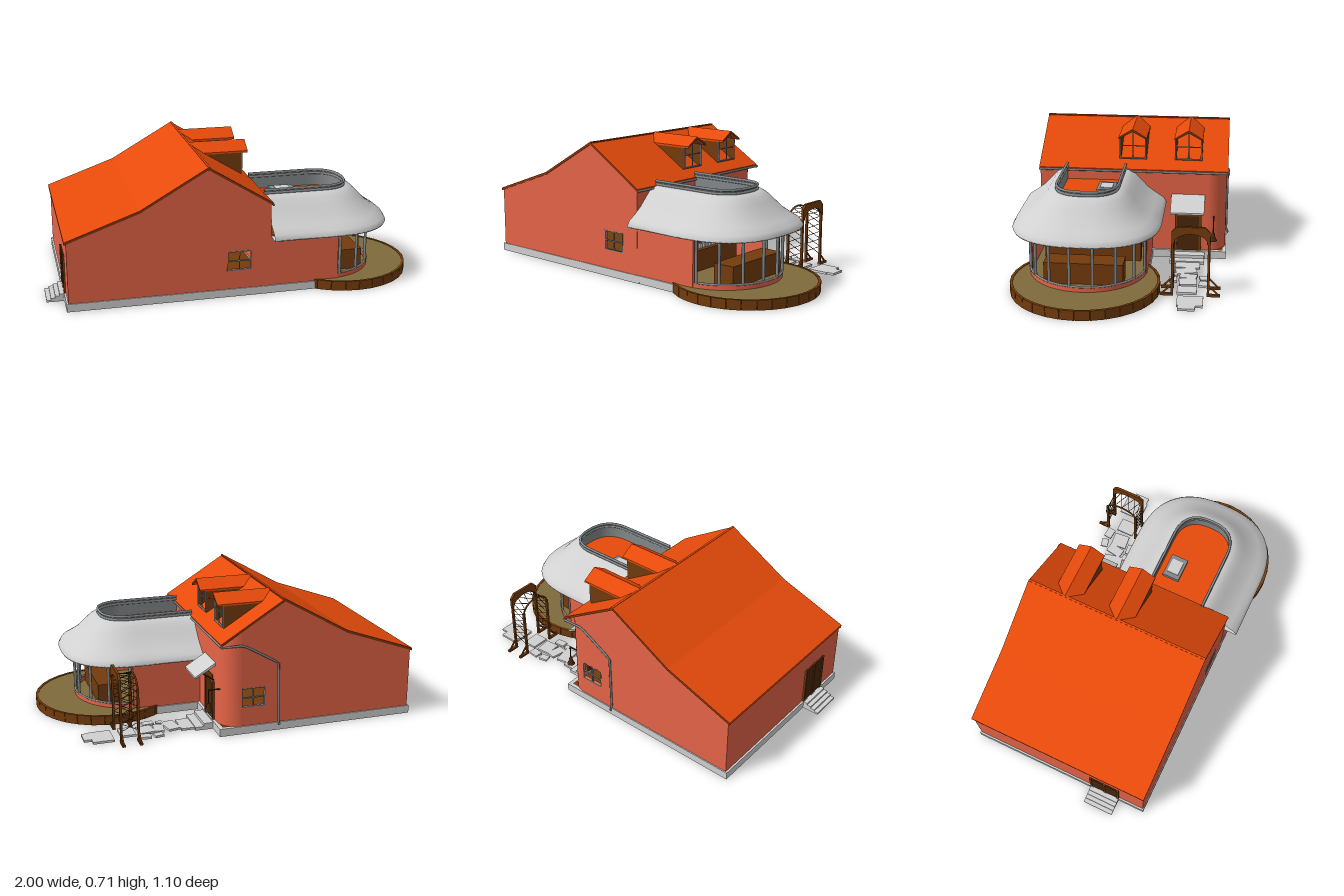
import * as THREE from 'three';

const mat = (name, color) => new THREE.MeshStandardMaterial({ name, color, side: THREE.DoubleSide });
const M = {
  roof: mat('orange tile', 0xe64a0a), trim: mat('dark red trim', 0x8a340c), wall: mat('salmon plaster', 0xe66447),
  stone: mat('pale stone', 0xd0d0d0), metal: mat('grey metal', 0x84888a), wood: mat('brown wood', 0x733b0c),
  dark: mat('dark wood', 0x4a260a), deck: mat('tan decking', 0x7f6a3c),
};
const CX = 0.475, CZ = 0.17; // centre of the rounded bay

// height of the main roof at x
const roofPts = [[-0.91, 0.37], [-0.53, 0.505], [-0.18, 0.705], [0.16, 0.495]];
function roofY(x) {
  for (let i = 0; i < 3; i++) {
    const [a, b] = [roofPts[i], roofPts[i + 1]];
    if (x <= b[0] || i === 2) return a[1] + (b[1] - a[1]) * (x - a[0]) / (b[0] - a[0]);
  }
}

export function createModel() {
  const root = new THREE.Group();
  root.name = 'house';

  function add(name, geo, m) {
    const mesh = new THREE.Mesh(geo, m);
    mesh.name = name;
    root.add(mesh);
    return mesh;
  }
  // box given by its limits
  const box = (name, m, x0, x1, y0, y1, z0, z1) => {
    const b = add(name, new THREE.BoxGeometry(x1 - x0, y1 - y0, z1 - z0), m);
    b.position.set((x0 + x1) / 2, (y0 + y1) / 2, (z0 + z1) / 2);
    return b;
  };
  // round bar between two points
  const bar = (name, m, a, b, r = 0.005) => {
    const p = new THREE.Vector3(...a), q = new THREE.Vector3(...b), d = q.clone().sub(p);
    const c = add(name, new THREE.CylinderGeometry(r, r, d.length(), 8), m);
    c.position.copy(p).add(q).multiplyScalar(0.5);
    c.quaternion.setFromUnitVectors(new THREE.Vector3(0, 1, 0), d.normalize());
    return c;
  };
  const poly = (pts) => new THREE.Shape(pts.map((p) => new THREE.Vector2(...p)));
  const rectHole = (x0, x1, y0, y1) => new THREE.Path([[x0, y0], [x0, y1], [x1, y1], [x1, y0]].map((p) => new THREE.Vector2(...p)));
  const extrude = (shape, depth) => new THREE.ExtrudeGeometry(shape, { depth, bevelEnabled: false, curveSegments: 24 });
  // skin through equal-length rings of points
  function loft(rings) {
    const n = rings[0].length, idx = [];
    for (let i = 0; i < rings.length - 1; i++) for (let j = 0; j < n - 1; j++) {
      const a = i * n + j, c = a + n;
      idx.push(a, a + 1, c, a + 1, c + 1, c);
    }
    const g = new THREE.BufferGeometry();
    g.setAttribute('position', new THREE.Float32BufferAttribute(rings.flat(2), 3));
    g.setIndex(idx);
    g.computeVertexNormals();
    return g;
  }
  // U-shaped outline of the bay: straight sides and a rounded nose
  function bayRing(w, y, power = 2, x0 = 0.15) {
    const pts = [[x0, y, CZ + w]];
    for (let i = 0; i <= 40; i++) {
      const t = Math.PI * (0.5 - i / 40), c = Math.max(0, Math.cos(t)), s = Math.sin(t), k = 2 / power;
      pts.push([CX + w * Math.pow(c, k), y, CZ + w * Math.sign(s) * Math.pow(Math.abs(s), k)]);
    }
    pts.push([x0, y, CZ - w]);
    return pts;
  }
  const tube = (name, m, pts, r) => {
    const path = new THREE.CurvePath();
    for (let i = 0; i < pts.length - 1; i++) path.add(new THREE.LineCurve3(new THREE.Vector3(...pts[i]), new THREE.Vector3(...pts[i + 1])));
    return add(name, new THREE.TubeGeometry(path, pts.length * 4, r, 8), m);
  };
  const flat = (name, m, pts, y) => add(name, new THREE.ShapeGeometry(poly(pts.map((p) => [p[0], -p[2]]))).rotateX(-Math.PI / 2).translate(0, y, 0), m);

  // foundation and floor
  const base = poly([[-0.91, -0.48], [0.165, -0.48], [0.165, 0.536], [-0.91, 0.536]]);
  base.holes.push(rectHole(-0.89, 0.145, -0.462, 0.518));
  add('foundation', extrude(base, 0.042).rotateX(-Math.PI / 2), M.stone);
  box('floor', M.wood, -0.89, 0.145, 0.012, 0.042, -0.518, 0.462);

  // front and back walls with a window each
  const profile = (xr) => {
    const s = poly([[-0.9, 0.04], [xr, 0.04], [xr, roofY(xr) - 0.008], [-0.18, 0.695], [-0.53, 0.497], [-0.9, 0.365]]);
    s.holes.push(rectHole(-0.08, 0.045, 0.145, 0.245));
    return s;
  };
  add('frontWall', extrude(profile(0.15), 0.02).translate(0, 0, 0.455), M.wall);
  add('backWall', extrude(profile(0.05), 0.02).translate(0, 0, -0.53), M.wall);
  box('leftWall', M.wall, -0.9, -0.885, 0.04, 0.365, -0.52, 0.47);
  // right wall turning round the back corner
  const plan = [[0.15, 0.475], [0.15, -0.43]];
  for (let i = 1; i <= 10; i++) {
    const t = i / 10 * Math.PI / 2;
    plan.push([0.05 + 0.1 * Math.cos(t), -0.43 - 0.1 * Math.sin(t)]);
  }
  add('rightWall', loft([plan.map(([x, z]) => [x, 0.04, z]), plan.map(([x, z]) => [x, roofY(x) - 0.008, z])]), M.wall);

  for (const z of [0.472, -0.527]) {
    const frame = poly([[-0.083, 0.142], [0.048, 0.142], [0.048, 0.248], [-0.083, 0.248]]);
    for (const x of [-0.078, -0.0145]) for (const y of [0.147, 0.198]) frame.holes.push(rectHole(x, x + 0.058, y, y + 0.045));
    add('windowFrame', extrude(frame, 0.008).translate(0, 0, z - 0.004), M.metal);
  }
  box('indoorTable', M.wood, -0.075, -0.03, 0.042, 0.168, -0.12, 0);

  // main roof
  const roofShape = poly([...roofPts, ...roofPts.map(([x, y]) => [x, y - 0.014]).reverse()]);
  add('mainRoof', extrude(roofShape, 1.015).translate(0, 0, -0.535), [M.trim, M.roof]);
  box('ridgeOverhang', M.roof, -0.182, -0.172, 0.688, 0.706, -0.535, 0.48);
  box('ridgeTrim', M.trim, -0.172, -0.17, 0.688, 0.705, -0.535, 0.48);
  bar('gutter', M.metal, [0.16, 0.484, -0.54], [0.16, 0.484, 0.48], 0.006);
  tube('downpipe', M.metal, [[0.155, 0.48, -0.54], [0.04, 0.48, -0.536], [-0.15, 0.37, -0.534], [-0.155, 0.04, -0.534], [-0.155, 0.035, -0.546]], 0.006);

  // dormers
  for (const z of [-0.023, -0.322]) {
    const chevron = poly([[-0.076, 0.652], [0, 0.695], [0.076, 0.652], [0.076, 0.662], [0, 0.709], [-0.076, 0.662]]);
    add('dormerRoof', extrude(chevron, 0.31).rotateY(Math.PI / 2).translate(-0.175, 0, z), [M.wood, M.roof]);
    for (const s of [-1, 1]) box('dormerSide', M.wood, -0.1, 0.1, 0.535, 0.66, z + s * 0.069 - 0.004, z + s * 0.069 + 0.004);
    const o = [[-0.069, 0.541], [0.069, 0.541], [0.069, 0.657], [0, 0.695], [-0.069, 0.657]];
    o.forEach((p, i) => {
      const q = o[(i + 1) % 5];
      bar('dormerFrame', M.metal, [0.102, p[1], z + p[0]], [0.102, q[1], z + q[0]], 0.005);
    });
    bar('dormerMullion', M.metal, [0.102, 0.541, z], [0.102, 0.695, z], 0.003);
    bar('dormerTransom', M.metal, [0.102, 0.61, z - 0.069], [0.102, 0.61, z + 0.069], 0.003);
  }

  // left door and steps
  box('leftDoor', M.dark, -0.907, -0.9, 0.04, 0.245, 0.165, 0.325);
  for (const z of [0.165, 0.245, 0.325]) box('leftDoorTrim', M.wood, -0.91, -0.9, 0.04, 0.25, z - 0.006, z + 0.006);
  for (let i = 0; i < 4; i++) box('leftStep', M.stone, -1 + i * 0.0225, -0.91, i * 0.01, 0.01 + i * 0.01, 0.16, 0.33);

  // right door, canopy and steps
  box('rightDoor', M.dark, 0.15, 0.157, 0.04, 0.245, -0.39, -0.265);
  for (const z of [-0.393, -0.262]) box('doorJamb', M.wood, 0.15, 0.162, 0.04, 0.25, z - 0.006, z + 0.006);
  box('doorLintel', M.wood, 0.15, 0.162, 0.24, 0.25, -0.398, -0.257);
  box('doorSign', M.wood, 0.15, 0.156, 0.258, 0.28, -0.375, -0.28);
  add('canopy', extrude(poly([[0.15, 0.36], [0.26, 0.292], [0.26, 0.282], [0.15, 0.345]]), 0.18).translate(0, 0, -0.415), M.stone);
  for (const z of [-0.4, -0.25]) bar('canopyBracket', M.dark, [0.155, 0.262, z], [0.215, 0.305, z], 0.004);
  box('doorStep', M.stone, 0.165, 0.215, 0, 0.035, -0.42, -0.235);
  box('doorStep', M.stone, 0.215, 0.26, 0, 0.018, -0.42, -0.235);

  // hanging bell
  bar('bellBracket', M.dark, [0.14, 0.235, -0.465], [0.205, 0.235, -0.465], 0.004);
  bar('bellChain', M.dark, [0.203, 0.235, -0.465], [0.203, 0.16, -0.465], 0.003);
  const bell = [[0.021, 0], [0.021, 0.003], [0.012, 0.02], [0.008, 0.042], [0, 0.045]].map((p) => new THREE.Vector2(...p));
  add('bell', new THREE.LatheGeometry(bell, 16), M.dark).position.set(0.203, 0.12, -0.465);

  // round deck with a plank rim
  const disc = add('deck', new THREE.CylinderGeometry(0.371, 0.371, 0.04, 64), M.deck);
  disc.position.set(0.617, 0.028, CZ);
  for (let i = 0; i < 32; i++) {
    const t = (i + 0.5) / 32 * Math.PI * 2, x = 0.617 + 0.372 * Math.cos(t);
    if (x < 0.38) continue;
    const plank = add('deckPlank', new THREE.BoxGeometry(0.014, 0.051, 0.072), M.wood);
    plank.position.set(x, 0.0255, CZ - 0.372 * Math.sin(t));
    plank.rotation.y = t;
  }

  // bay base, low wall and side walls
  const bayBase = loft([bayRing(0.285, 0), bayRing(0.308, 0), bayRing(0.308, 0.042), bayRing(0.285, 0.05)]).toNonIndexed();
  bayBase.computeVertexNormals();
  add('bayFoundation', bayBase, M.stone);
  box('baySlab', M.stone, 0.15, CX, 0.016, 0.044, CZ - 0.29, CZ + 0.29);
  flat('bayFloor', M.deck, bayRing(0.295, 0), 0.052);
  add('bayLowWall', loft([bayRing(0.304, 0.04), bayRing(0.304, 0.072)]), M.wall);
  for (const s of [-1, 1]) box('baySideWall', M.wall, 0.14, 0.52, 0.04, 0.32, CZ + s * 0.296 - 0.008, CZ + s * 0.296 + 0.008);
  tube('baySill', M.metal, bayRing(0.302, 0.075).slice(4, -4), 0.006);
  tube('bayHeader', M.metal, bayRing(0.302, 0.308).slice(4, -4), 0.005);
  flat('bayCeiling', M.wood, bayRing(0.302, 0), 0.316);
  for (let i = 0; i < 8; i++) {
    const t = (i - 3.5) * Math.PI / 8, x = CX + 0.3 * Math.cos(t), z = CZ + 0.3 * Math.sin(t);
    bar('bayColumn', M.metal, [x, 0.07, z], [x, 0.315, z], 0.008);
  }

  // sweeping bay roof, recessed top and double rim
  const roofSteps = [[0.3, 0.315], [0.374, 0.307], [0.378, 0.315], [0.364, 0.34], [0.325, 0.365], [0.28, 0.398], [0.235, 0.445], [0.205, 0.475], [0.18, 0.491], [0.158, 0.496]];
  add('bayRoof', loft(roofSteps.map(([w, y]) => bayRing(w, y, 2.5))), M.stone);
  add('bayRoofInnerWall', loft([bayRing(0.156, 0.425, 2.5), bayRing(0.156, 0.518, 2.5)]), M.metal);
  flat('bayRoofTop', M.roof, bayRing(0.157, 0, 2.5), 0.43);
  for (const y of [0.5, 0.518]) tube('bayRoofRim', M.metal, bayRing(0.157, y, 2.5), 0.007);
  box('skylightBase', M.metal, 0.255, 0.385, 0.43, 0.452, 0.045, 0.14);
  box('skylightPane', M.stone, 0.28, 0.36, 0.452, 0.456, 0.06, 0.125);

  // bay interior: panelled wall, shelves, counter and cups
  box('innerPanel', M.wood, 0.152, 0.158, 0.05, 0.314, CZ - 0.285, CZ + 0.285);
  for (const y of [0.205, 0.245]) box('shelf', M.dark, 0.158, 0.19, y, y + 0.008, -0.09, 0.17);
  box('cabinet', M.dark, 0.158, 0.17, 0.19, 0.245, 0.19, 0.31);
  box('cabinetDoor', M.wood, 0.17, 0.173, 0.196, 0.239, 0.197, 0.303);
  box('counter', M.wood, 0.57, 0.69, 0.052, 0.162, -0.03, 0.37);
  box('rearCounter', M.wood, 0.3, 0.36, 0.052, 0.162, -0.09, 0.42);
  for (let i = 0; i < 15; i++) {
    const z = -0.088 + i * 0.027;
    if (i < 10) box('shelfCup', M.stone, 0.17, 0.186, 0.213, 0.235, z - 0.008, z + 0.008);
    box('counterCup', M.stone, 0.32, 0.336, 0.162, 0.186, z - 0.008, z + 0.008);
  }

  // stepping stones: x, z, width, depth, turn
  for (const [x, z, w, d, r] of [[0.295, -0.335, 0.07, 0.13, 0], [0.37, -0.33, 0.07, 0.11, 0.2], [0.44, -0.345, 0.055, 0.09, -0.15],
    [0.51, -0.345, 0.08, 0.09, 0.1], [0.46, -0.425, 0.05, 0.04, 0.2], [0.53, -0.425, 0.06, 0.045, -0.1], [0.48, -0.267, 0.06, 0.04, 0.1],
    [0.42, -0.273, 0.035, 0.03, 0], [0.61, -0.345, 0.08, 0.1, 0], [0.745, -0.365, 0.11, 0.13, 0], [0.82, -0.35, 0.04, 0.085, 0]]) {
    const s = add('steppingStone', new THREE.BoxGeometry(w, 0.012, d), M.stone);
    s.position.set(x, 0.006, z);
    s.rotation.y = r;
  }

  // garden arch: header board on the outer side, plain bow on the inner
  const zc = -0.362;
  const header = poly([[-0.095, 0.28], [-0.095, 0.34], [-0.07, 0.366], [0.07, 0.366], [0.095, 0.34], [0.095, 0.28], [0.08, 0.28]]);
  header.absellipse(0, 0.285, 0.08, 0.045, 0, Math.PI, false);
  header.lineTo(-0.08, 0.28);
  add('archHeader', extrude(header, 0.014).rotateY(Math.PI / 2).translate(0.655, 0, zc), M.wood);
  const bowAt = (x, k) => [x, 0.27 + 0.065 * Math.sin(k * Math.PI), zc + 0.09 * Math.cos(k * Math.PI)];
  for (const x of [0.57, 0.66]) {
    tube('archBow', M.wood, Array.from({ length: 13 }, (_, i) => bowAt(x, i / 12)), 0.005);
    for (const s of [-1, 1]) {
      const z = zc + s * 0.09;
      box('archPost', M.wood, x - 0.006, x + 0.006, 0, 0.28, z - 0.006, z + 0.006);
      bar('archBrace', M.wood, [x, 0.06, z], [x, 0.01, z + s * 0.05], 0.005);
      box('archFoot', M.wood, x - 0.008, x + 0.008, 0, 0.012, z - 0.006 + Math.min(0, s * 0.055), z + 0.006 + Math.max(0, s * 0.055));
    }
  }
  // crossed trellis on the sides and over the top
  const cross = (a, b, c, d) => {
    bar('trellis', M.dark, a, d, 0.0016);
    bar('trellis', M.dark, b, c, 0.0016);
  };
  for (const s of [-1, 1]) for (let i = 0; i < 5; i++) {
    const y = 0.06 + i * 0.043, z = zc + s * 0.09;
    cross([0.57, y, z], [0.66, y, z], [0.57, y + 0.043, z], [0.66, y + 0.043, z]);
  }
  for (let i = 0; i < 6; i++) cross(bowAt(0.57, i / 6), bowAt(0.66, i / 6), bowAt(0.57, (i + 1) / 6), bowAt(0.66, (i + 1) / 6));
  return root;
}
